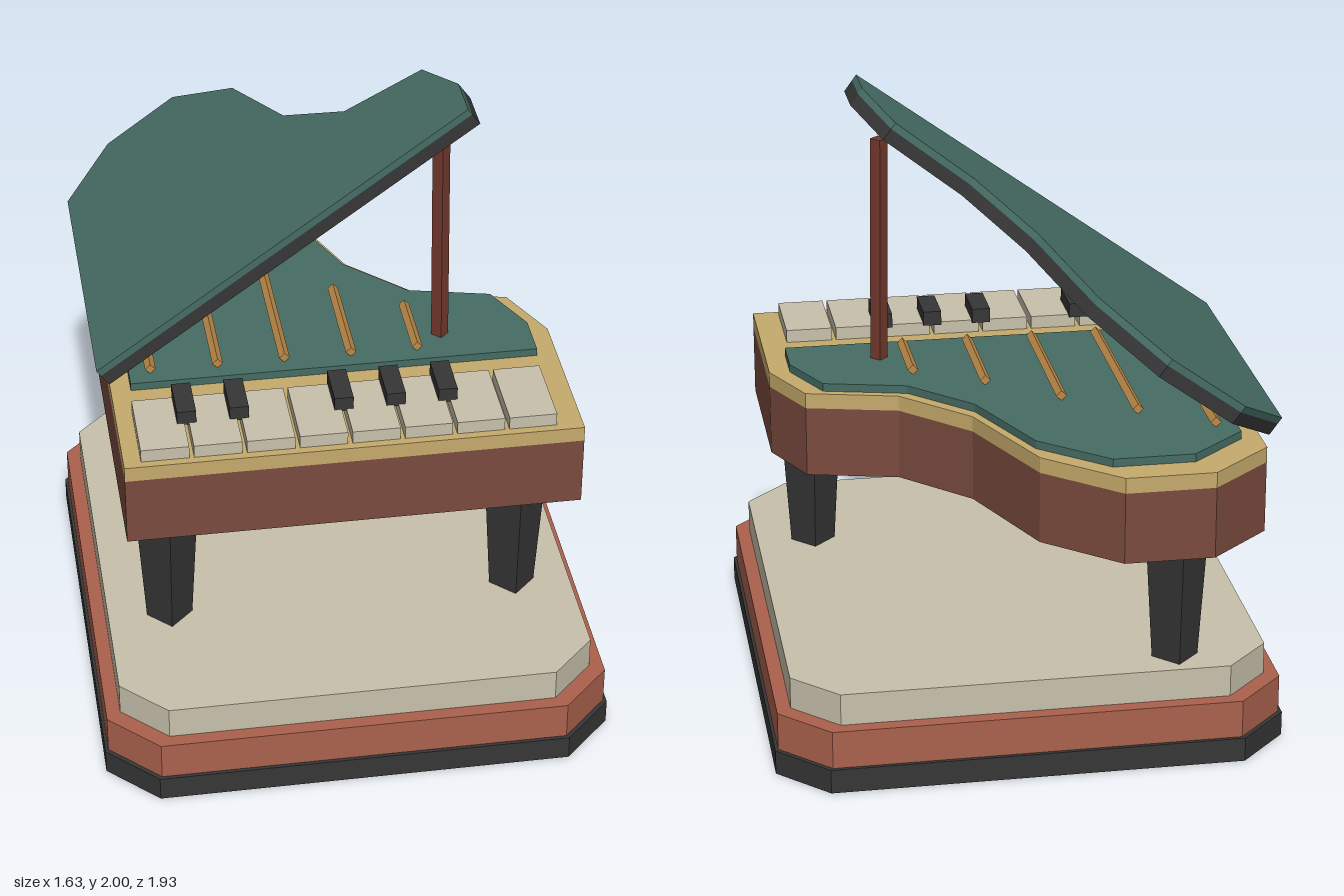
import * as THREE from 'three';

const mat = (name, color) => {
  const m = new THREE.MeshStandardMaterial({ color });
  m.name = name;
  return m;
};

export function createModel() {
  const black = mat('black', 0x363636);
  const red = mat('terracotta', 0xab614d);
  const cream = mat('cream', 0xc8c1ac);
  const brown = mat('mahogany', 0x7b4b3e);
  const gold = mat('gold', 0xc6ab6c);
  const teal = mat('teal', 0x466d64);
  const brass = mat('brass', 0xbd8a48);
  const propBrown = mat('propBrown', 0x74392e);

  const model = new THREE.Group();
  model.name = 'grandPiano';

  const add = (name, geometry, material, parent = model) => {
    const mesh = new THREE.Mesh(geometry, material);
    mesh.name = name;
    parent.add(mesh);
    return mesh;
  };
  const group = (name) => {
    const g = new THREE.Group();
    g.name = name;
    model.add(g);
    return g;
  };
  // Flat slab: an [x, z] outline raised from y0 to y1
  const slab = (points, y0, y1) => {
    const shape = new THREE.Shape(points.map(([x, z]) => new THREE.Vector2(x, -z)));
    return new THREE.ExtrudeGeometry(shape, { depth: y1 - y0, bevelEnabled: false })
      .rotateX(-Math.PI / 2).translate(0, y0, 0);
  };
  // Four-sided faceted post with its edges on the axes
  const post = (rTop, rBottom, height) => {
    const g = new THREE.CylinderGeometry(rTop, rBottom, height, 4).toNonIndexed();
    g.computeVertexNormals();
    return g;
  };

  // Three-tier plinth with cut corners
  const tier = (hx, hz, c) => {
    const zc = 0.07;
    return [[-hx, hz - c], [-hx + c, hz], [hx - c, hz], [hx, hz - c],
      [hx, -hz + c], [hx - c, -hz], [-hx + c, -hz], [-hx, -hz + c]].map(([x, z]) => [x, z + zc]);
  };
  add('plinthBottom', slab(tier(0.815, 0.895, 0.157), 0, 0.08), black);
  add('plinthMiddle', slab(tier(0.805, 0.883, 0.155), 0.08, 0.205), red);
  add('plinthTop', slab(tier(0.76, 0.839, 0.142), 0.205, 0.31), cream);

  // Curved body outline behind the keyboard, right side round to the left
  const curve = [[0.735, 0.08], [0.64, -0.125], [0.35, -0.195], [0.145, -0.405],
    [-0.005, -0.765], [-0.23, -0.965], [-0.51, -0.965], [-0.705, -0.795]];
  const body = [[-0.705, 0.64], [0.735, 0.64], ...curve];
  add('case', slab(body, 0.78, 1.01), brown);
  add('rim', slab(body, 1.01, 1.06), gold);

  // Soundboard, a smaller copy of the body outline
  const board = [[-0.705, 0.25], [0.735, 0.25], ...curve].map(([x, z]) => [x * 0.91, z * 0.905]);
  add('soundboard', slab(board, 1.06, 1.086), teal);

  // Strings, shorter towards the right
  const strings = group('strings');
  [0.845, 0.7, 0.55, 0.38, 0.25].forEach((length, i) => {
    const s = add('string', post(0.017, 0.017, length).rotateX(Math.PI / 2), brass, strings);
    s.position.set(-0.573 + i * 0.215, 1.1, 0.175 - length / 2);
  });

  // Keyboard
  const keys = group('keyboard');
  const pitch = 0.1645;
  for (let i = 0; i < 8; i++) {
    add('whiteKey', new THREE.BoxGeometry(0.15, 0.042, 0.27), cream, keys)
      .position.set((i - 3.5) * pitch, 1.081, 0.478);
  }
  for (const i of [-3, -2, 0, 1, 2]) {
    add('blackKey', new THREE.BoxGeometry(0.06, 0.048, 0.157), black, keys)
      .position.set(i * pitch, 1.12, 0.409);
  }

  // Three tapered legs
  const legs = group('legs');
  for (const [x, z] of [[-0.56, 0.423], [0.57, 0.423], [-0.46, -0.66]]) {
    add('leg', post(0.103, 0.074, 0.47), black, legs).position.set(x, 0.545, z);
  }

  // Raised lid, hinged along the left side
  const lid = group('lid');
  const lidOutline = [[-0.705, 0.24], [0.735, 0.24], ...curve].map(([x, z]) => [x + 0.705, z]);
  add('lidUnderside', slab(lidOutline, 0, 0.043), black, lid);
  add('lidTop', slab(lidOutline, 0.043, 0.066), teal, lid);
  lid.position.set(-0.71, 1.1, 0);
  lid.rotation.z = 0.627;

  // Lid prop, leaning slightly
  const prop = add('lidProp', post(0.028, 0.028, 0.745), propBrown);
  prop.position.set(0.371, 1.457, 0.09);
  prop.rotation.z = 0.012;

  return model;
}
